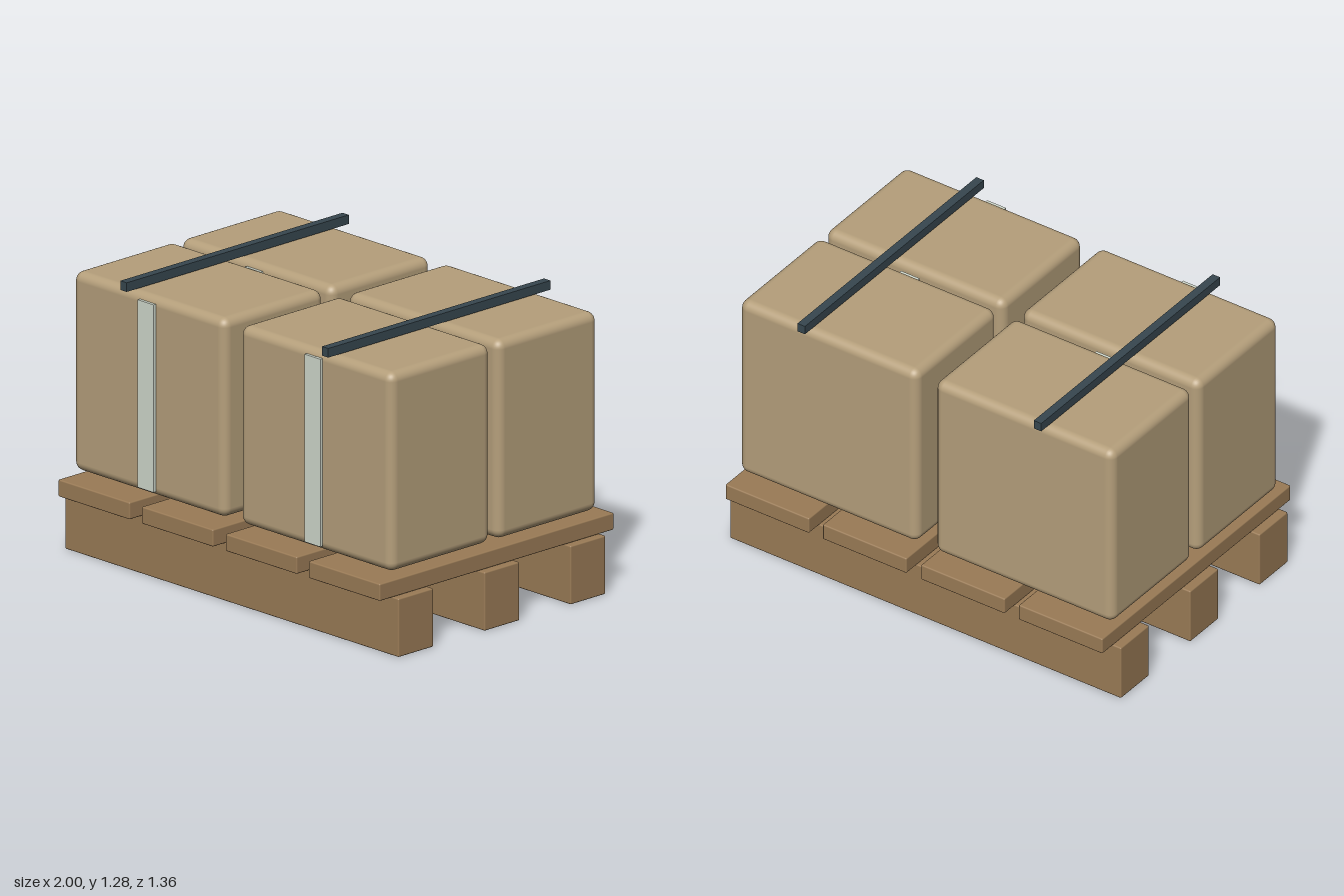
import * as THREE from 'three';
import { RoundedBoxGeometry } from 'three/addons/geometries/RoundedBoxGeometry.js';

const material = (color) => new THREE.MeshStandardMaterial({ color });

export function createModel() {
  const model = new THREE.Group();
  const wood = material(0x9a7b56);
  const cardboard = material(0xb59f7b);
  const tapeGrey = material(0xd0d8cc);
  const strapDark = material(0x37474f);

  function add(name, geometry, mat, x, y, z) {
    const mesh = new THREE.Mesh(geometry, mat);
    mesh.name = name;
    mesh.position.set(x, y, z);
    model.add(mesh);
  }

  // Pallet: three runners along x, four deck boards across them
  const runner = new RoundedBoxGeometry(2, 0.257, 0.204, 2, 0.006);
  for (const z of [-0.5, 0, 0.5]) add('palletRunner', runner, wood, 0, 0.1315, z);
  const board = new RoundedBoxGeometry(0.428, 0.075, 1.36, 2, 0.006);
  for (const x of [-0.746, -0.246, 0.256, 0.754]) add('deckBoard', board, wood, x, 0.2975, 0);

  // Four cartons, each with a strip of tape on its front face
  const carton = new RoundedBoxGeometry(0.912, 0.875, 0.582, 4, 0.04);
  const tape = new THREE.BoxGeometry(0.095, 0.825, 0.014);
  for (const x of [-0.5, 0.5]) {
    for (const z of [-0.311, 0.311]) {
      add('carton', carton, cardboard, x, 0.7975, z);
      add('cartonTape', tape, tapeGrey, x, 0.797, z + 0.3);
    }
  }

  // Two straps running front to back over the cartons
  const strap = new THREE.BoxGeometry(0.038, 0.04, 1.29);
  for (const x of [-0.604, 0.604]) add('loadStrap', strap, strapDark, x, 1.261, 0);

  return model;
}
